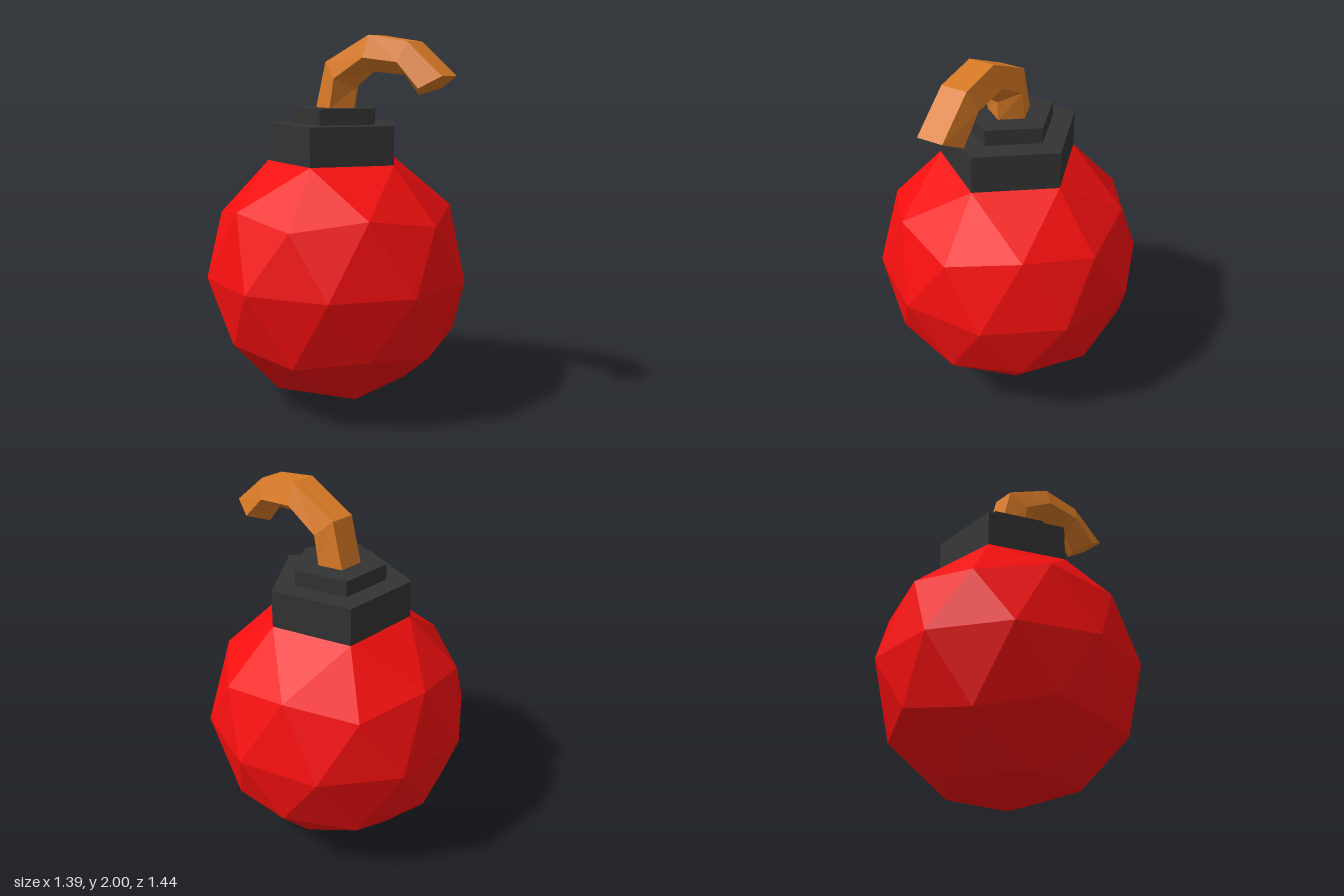
import * as THREE from 'three';

const SIDES = 5;
const AXIS_X = -0.013; // the body axis sits slightly off the overall centre
const RADIUS = 0.722;
const RIM_Y = RADIUS * 1.851; // height of the highest ring of the body

const paint = (color) => new THREE.MeshStandardMaterial({ color, flatShading: true });

function part(name, geometry, material) {
  const mesh = new THREE.Mesh(geometry, material);
  mesh.name = name;
  return mesh;
}

// Faceted ball standing on a vertex, with the five faces at the top pole removed
function bodyGeometry() {
  const ball = new THREE.IcosahedronGeometry(RADIUS, 1);
  ball.rotateZ(-Math.atan(2 / (1 + Math.sqrt(5))));
  const p = ball.attributes.position;
  const kept = [];
  for (let i = 0; i < p.count; i += 3) {
    const corners = [i, i + 1, i + 2];
    if (corners.some((c) => p.getY(c) > RADIUS * 0.99)) continue;
    corners.forEach((c) => kept.push(p.getX(c), p.getY(c), p.getZ(c)));
  }
  const g = new THREE.BufferGeometry();
  g.setAttribute('position', new THREE.Float32BufferAttribute(kept, 3));
  g.translate(AXIS_X, RADIUS, 0);
  g.computeVertexNormals();
  return g;
}

// Pentagonal slab with a corner pointing to +x
function slabGeometry(radius, y0, y1) {
  const g = new THREE.CylinderGeometry(radius, radius, y1 - y0, SIDES, 1, false, Math.PI / 2);
  return g.translate(AXIS_X, (y0 + y1) / 2, 0);
}

// Pentagonal tube lofted through stations of [outerX, outerY, innerX, innerY]
function fuseGeometry() {
  const stations = [
    [-0.106, 1.62, 0.102, 1.62],
    [-0.04, 1.865, 0.108, 1.726],
    [0.246, 2.0, 0.235, 1.815],
    [0.484, 1.965, 0.435, 1.8],
    [0.692, 1.796, 0.516, 1.7],
  ];
  const flat = Math.cos(Math.PI / SIDES);
  const points = [];
  const index = [];
  stations.forEach(([ox, oy, ix, iy], s) => {
    for (let k = 0; k < SIDES; k++) {
      const a = (k / SIDES) * Math.PI * 2;
      const t = (Math.cos(a) + flat) / (1 + flat);
      points.push(ox + (ix - ox) * t, oy + (iy - oy) * t, 0.115 * Math.sin(a));
      if (s === 0) continue;
      const n = (k + 1) % SIDES;
      const lo = (s - 1) * SIDES;
      const hi = s * SIDES;
      index.push(lo + k, hi + k, lo + n, lo + n, hi + k, hi + n);
    }
  });
  // flat end of the fuse
  const end = (stations.length - 1) * SIDES;
  for (let k = 1; k < SIDES - 1; k++) index.push(end, end + k + 1, end + k);
  const g = new THREE.BufferGeometry();
  g.setAttribute('position', new THREE.Float32BufferAttribute(points, 3));
  g.setIndex(index);
  const faceted = g.toNonIndexed();
  faceted.computeVertexNormals();
  return faceted;
}

export function createModel() {
  const group = new THREE.Group();
  group.name = 'bomb';
  const dark = paint(0x333333);
  group.add(
    part('body', bodyGeometry(), paint(0xf50f0f)),
    part('collar', slabGeometry(RADIUS * 0.5257, RIM_Y, 1.54), dark),
    part('collarStep', slabGeometry(0.248, 1.54, 1.625), dark),
    part('fuse', fuseGeometry(), paint(0xd87a26)),
  );
  return group;
}
